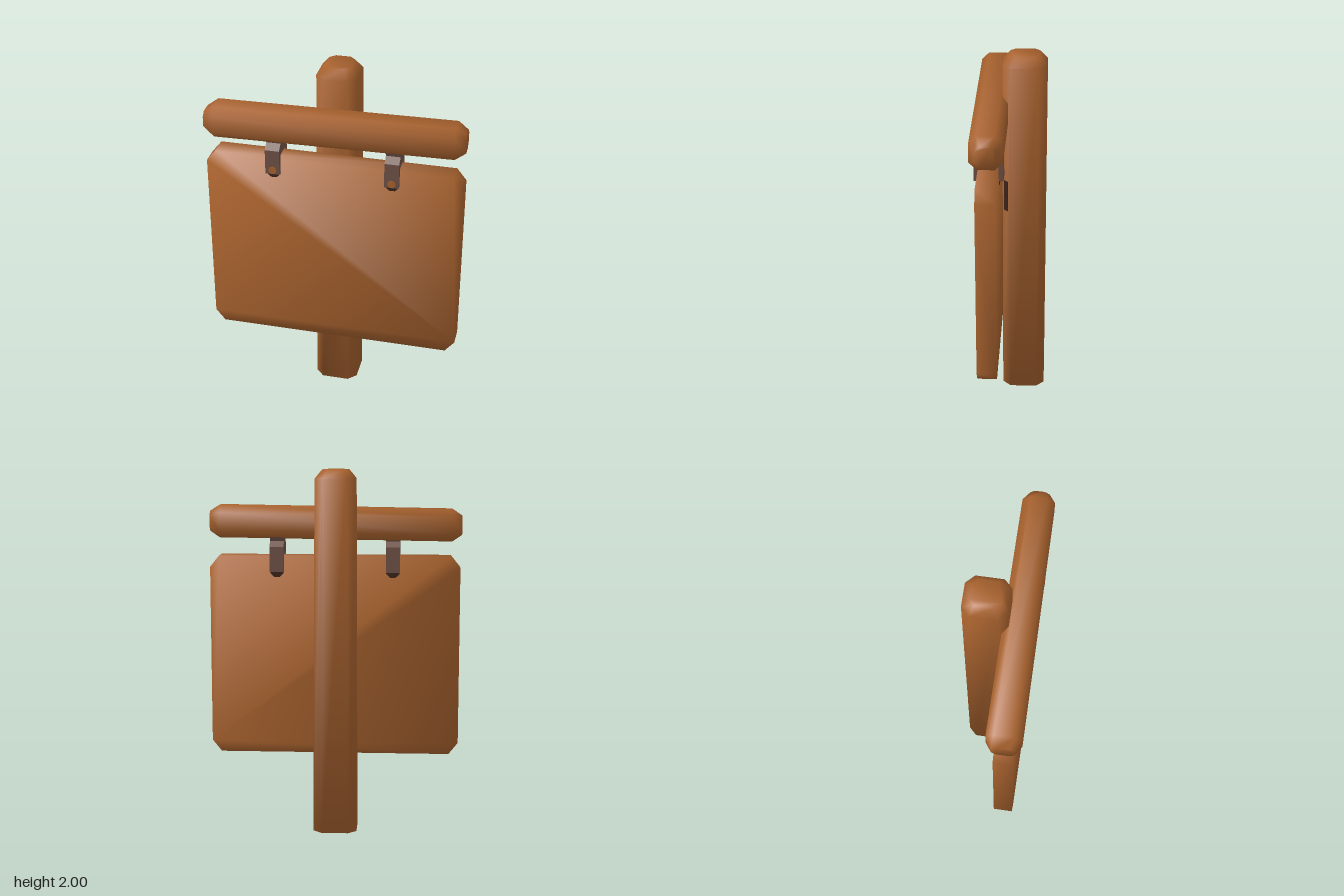
import * as THREE from 'three';
import { toCreasedNormals } from 'three/addons/utils/BufferGeometryUtils.js';

const material = (name, color, side = THREE.FrontSide) => {
  const m = new THREE.MeshStandardMaterial({ color, side });
  m.name = name;
  return m;
};

// Rectangle with cut corners, counter-clockwise, as [u, v] pairs
function cutRect(cu, cv, hu, hv, a, b = a) {
  return [
    [hu, b - hv], [hu, hv - b], [hu - a, hv], [a - hu, hv],
    [-hu, hv - b], [-hu, b - hv], [a - hu, -hv], [hu - a, -hv],
  ].map(([u, v]) => [cu + u, cv + v]);
}

// Joins sections [position, outline] along an axis into a closed, softly shaded solid
function loft(axis, sections) {
  const place = {
    x: (t, u, v) => [t, u, v],
    y: (t, u, v) => [v, t, u],
    z: (t, u, v) => [u, v, t],
  }[axis];
  const n = sections[0][1].length;
  const positions = [], index = [];
  sections.forEach(([t, outline]) => outline.forEach(([u, v]) => positions.push(...place(t, u, v))));
  for (let s = 0; s < sections.length - 1; s++) {
    for (let i = 0; i < n; i++) {
      const a = s * n + i, b = s * n + (i + 1) % n;
      index.push(a, b, b + n, a, b + n, a + n);
    }
  }
  const last = (sections.length - 1) * n;
  for (let i = 1; i < n - 1; i++) {
    index.push(0, i + 1, i, last, last + i, last + i + 1);
  }
  const geo = new THREE.BufferGeometry();
  geo.setAttribute('position', new THREE.Float32BufferAttribute(positions, 3));
  geo.setIndex(index);
  return toCreasedNormals(geo, 1.75);
}

export function createModel() {
  const model = new THREE.Group();
  model.name = 'hangingSign';
  const wood = material('wood', 0xa8622e);
  const iron = material('iron', 0x6e5146);
  const dark = material('darkHole', 0x3a2219);

  const add = (name, geo, mat, parent = model) => {
    const mesh = new THREE.Mesh(geo, mat);
    mesh.name = name;
    parent.add(mesh);
    return mesh;
  };

  // Upright post with a bevelled top, slightly wider at the foot
  add('post', loft('y', [
    [0, cutRect(-0.074, -0.01, 0.118, 0.12, 0.045)],
    [1.95, cutRect(-0.074, -0.01, 0.118, 0.11, 0.045)],
    [2, cutRect(-0.074, -0.01, 0.08, 0.07, 0.03)],
  ]), wood);

  // Crossbeam, a little crooked, with bevelled ends
  add('crossbeam', loft('x', [
    [-0.7, cutRect(1.69, 0.102, 0.052, 0.058, 0.025)],
    [-0.645, cutRect(1.691, 0.101, 0.088, 0.092, 0.04)],
    [0.645, cutRect(1.71, 0.1, 0.09, 0.085, 0.04)],
    [0.7, cutRect(1.71, 0.1, 0.055, 0.052, 0.025)],
  ]), wood);

  // Sign board with cut corners
  const boardOutline = cutRect(0.004, 0.96, 0.697, 0.56, 0.052, 0.065);
  add('signBoard', loft('z', [[0.05, boardOutline], [0.155, boardOutline]]), wood);

  // Hooks straddling the top edge of the board
  const profile = new THREE.Shape([
    [0.025, 1.43], [0.05, 1.43], [0.05, 1.537], [0.155, 1.537], [0.155, 1.43], [0.18, 1.43],
    [0.18, 1.57], [0.145, 1.6], [0.16, 1.64], [0.04, 1.64], [0.055, 1.6], [0.025, 1.57],
  ].map(([z, y]) => new THREE.Vector2(z, y)));
  for (const x of [-0.32, 0.325]) {
    const hook = new THREE.Group();
    hook.name = x < 0 ? 'rightHook' : 'leftHook';
    hook.position.x = x;
    model.add(hook);
    const strap = new THREE.ExtrudeGeometry(profile, { depth: 0.078, bevelEnabled: false });
    strap.translate(0, 0, -0.039).rotateY(-Math.PI / 2);
    add('strap', strap, iron, hook);

    // Dark holes on both faces of the board
    for (const z of [0.05, 0.155]) {
      const hole = add('hole', new THREE.CylinderGeometry(0.04, 0.04, 0.006, 8), dark, hook);
      hole.rotation.set(Math.PI / 2, Math.PI / 8, 0);
      hole.position.set(0, 1.437, z);
    }

    // Small wooden peg end
    const peg = add('peg', new THREE.CylinderGeometry(0.022, 0.022, 0.006, 8), wood, hook);
    peg.rotation.x = Math.PI / 2;
    peg.position.set(0, 1.453, 0.18);
  }

  // Dark notches on the post's front corner
  for (const [y, h] of [[1.21, 0.18], [0.66, 0.22]]) {
    const notch = add('notch', new THREE.BoxGeometry(0.03, h, 0.006), dark);
    notch.position.set(0.075, y, 0.024);
    notch.rotation.y = Math.PI / 4;
  }

  return model;
}
